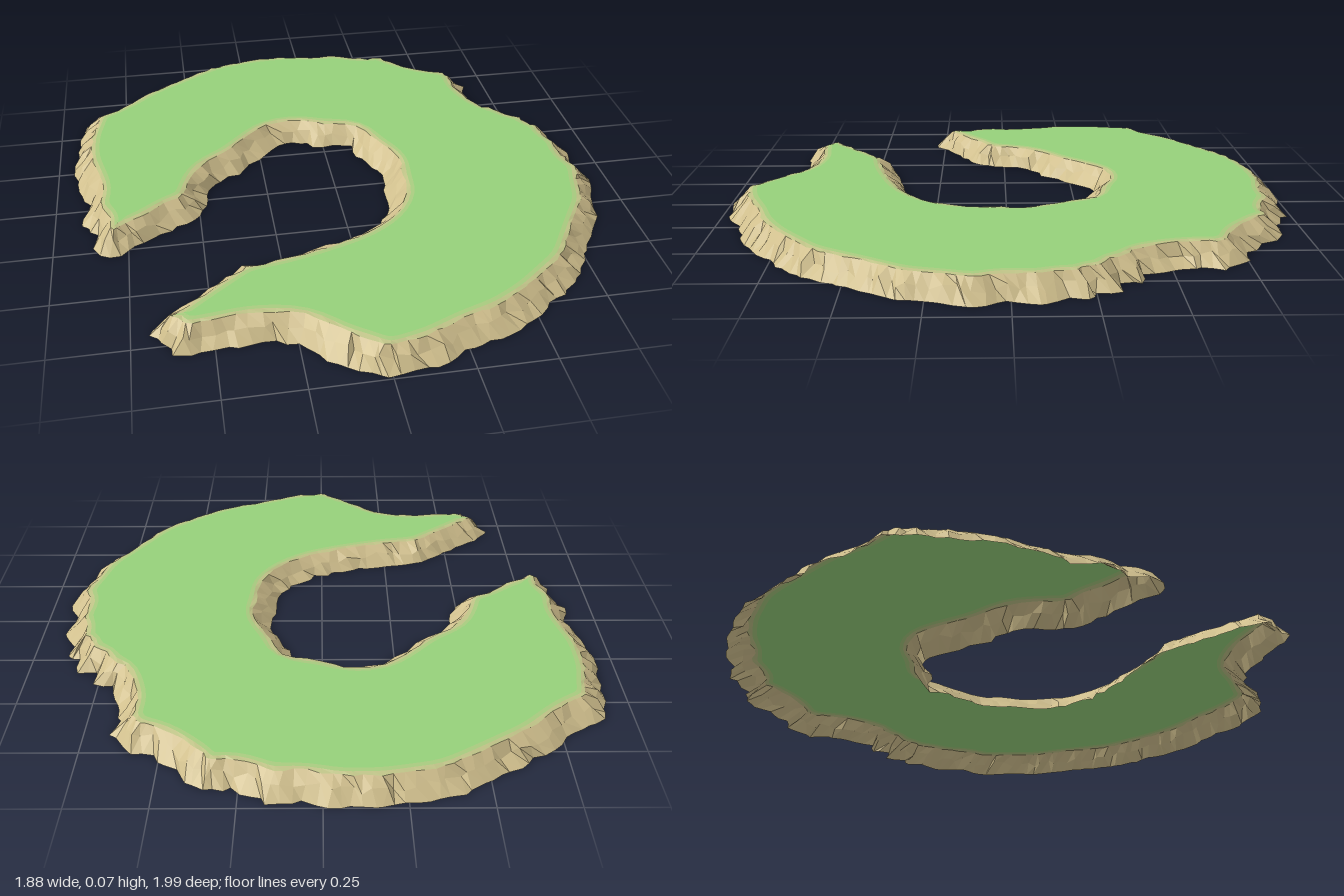
import * as THREE from 'three';

// Shoreline in hundredths of a unit (x, z), clockwise seen from above
const SHORE = [
  -18, -100, -2, -100, 6, -97, 16, -98, 27, -92, 36, -93, 42, -86, 52, -77, 61, -74, 66, -66, 65, -57,
  70, -41, 76, -40, 77, -33, 84, -32, 84, -25, 89, -23, 88, -16, 92, -8, 90, 2, 94, 10, 91, 21, 88, 34,
  81, 45, 69, 65, 51, 80, 39, 87, 27, 91, 14, 97, -1, 100, -17, 89, -25, 80, -39, 78, -50, 80, -62, 80,
  -65, 74, -70, 69, -61, 60, -50, 51, -40, 43, -26, 41, -12, 37, 2, 32, 11, 25, 17, 16, 17, 5, 19, -5,
  15, -13, 11, -20, 11, -28, 0, -28, -9, -33, -18, -33, -26, -24, -34, -15, -44, -9, -47, 0, -50, 10,
  -58, 14, -66, 21, -81, 29, -87, 23, -86, 16, -91, 8, -89, -3, -94, -24, -94, -40, -90, -59, -79, -66,
  -68, -77, -48, -90, -38, -96,
];

function seeded(seed) {
  return () => {
    seed = (seed * 16807) % 2147483647;
    return seed / 2147483647 - 0.5;
  };
}

// Even resampling of the closed shoreline
function shoreline(step) {
  const pts = [];
  const n = SHORE.length / 2;
  const corner = (i) => new THREE.Vector2(SHORE[(i % n) * 2], SHORE[(i % n) * 2 + 1]).multiplyScalar(0.01);
  for (let i = 0; i < n; i++) {
    const a = corner(i), b = corner(i + 1);
    const parts = Math.max(1, Math.round(a.distanceTo(b) / step));
    for (let k = 0; k < parts; k++) pts.push(a.clone().lerp(b, k / parts));
  }
  return pts;
}

// Moves the outline inland by a distance, then smooths it
function inset(line, distance, passes) {
  const n = line.length;
  let ring = line.map((p, i) => {
    const d = line[(i + 2) % n].clone().sub(line[(i + n - 2) % n]).normalize();
    return new THREE.Vector2(p.x - d.y * distance, p.y + d.x * distance);
  });
  for (let k = 0; k < passes; k++) {
    ring = ring.map((p, i) => p.clone().multiplyScalar(2).add(ring[(i + 1) % n]).add(ring[(i + n - 1) % n]).multiplyScalar(0.25));
  }
  return ring;
}

const lift = (ring, y) => ring.map((p) => new THREE.Vector3(p.x, y, p.y));

// Surface joining closed rings, from the lowest to the highest
function band(rings) {
  const pos = [];
  const n = rings[0].length;
  for (let r = 0; r < rings.length - 1; r++) {
    for (let i = 0; i < n; i++) {
      const j = (i + 1) % n;
      const [b0, b1, t0, t1] = [rings[r][i], rings[r][j], rings[r + 1][i], rings[r + 1][j]];
      for (const v of [b0, t0, t1, b0, t1, b1]) pos.push(v.x, v.y, v.z);
    }
  }
  const geo = new THREE.BufferGeometry();
  geo.setAttribute('position', new THREE.Float32BufferAttribute(pos, 3));
  geo.computeVertexNormals();
  return geo;
}

// Flat surface filling a ring, facing up
function cap(ring, y) {
  const index = [];
  for (const [a, b, c] of THREE.ShapeUtils.triangulateShape(ring, [])) {
    const u = ring[b].clone().sub(ring[a]), v = ring[c].clone().sub(ring[a]);
    index.push(a, ...(u.cross(v) < 0 ? [b, c] : [c, b]));
  }
  const geo = new THREE.BufferGeometry().setFromPoints(lift(ring, y));
  geo.setIndex(index);
  geo.computeVertexNormals();
  return geo;
}

function material(name, color, flatShading = false) {
  const m = new THREE.MeshStandardMaterial({ color, flatShading, side: THREE.DoubleSide });
  m.name = name;
  return m;
}

export function createModel() {
  const island = new THREE.Group();
  island.name = 'island';
  const add = (name, geometry, mat) => {
    const mesh = new THREE.Mesh(geometry, mat);
    mesh.name = name;
    island.add(mesh);
  };

  const rand = seeded(4711);
  const line = shoreline(0.035);
  const foot = lift(line, 0);
  const middle = lift(inset(line, 0.035, 1), 0.036);
  const rim = lift(inset(line, 0.066, 2), 0.067);
  const verge = lift(inset(line, 0.08, 2), 0.07);
  const lawnLine = inset(line, 0.095, 3);

  // Ragged rock on the slope
  for (const v of middle) v.add(new THREE.Vector3(rand() * 0.026, rand() * 0.022, rand() * 0.026));
  for (const v of rim) v.add(new THREE.Vector3(rand() * 0.01, rand() * 0.004, rand() * 0.01));
  for (const v of foot) {
    v.x = THREE.MathUtils.clamp(v.x + rand() * 0.02, -0.945, 0.945);
    v.z = THREE.MathUtils.clamp(v.z + rand() * 0.02, -1, 1);
  }

  // Sandy cliff, open underneath
  add('cliff', band([foot, middle, rim]), material('sand', 0xd0bf8d, true));
  // Worn grass fading from the cliff into the lawn
  add('sandyEdge', band([rim, verge]), material('sandy grass', 0xbfc387));
  add('grassEdge', band([verge, lift(lawnLine, 0.071)]), material('dry grass', 0xa8cb7f));
  // Level lawn
  add('lawn', cap(lawnLine, 0.071), material('grass', 0x96d07a));

  return island;
}
